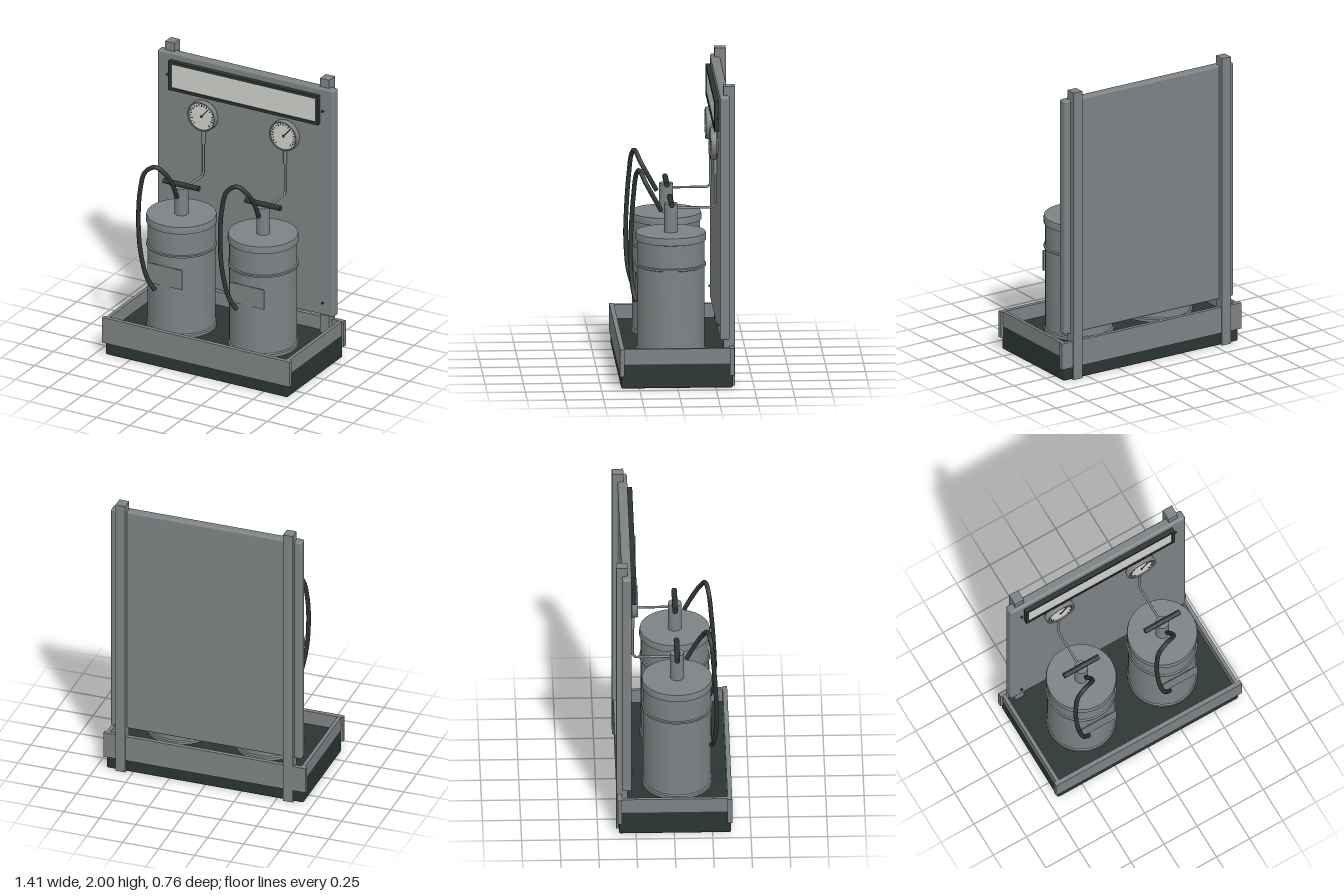
import * as THREE from 'three';
import { RoundedBoxGeometry } from 'three/addons/geometries/RoundedBoxGeometry.js';
import { toCreasedNormals } from 'three/addons/utils/BufferGeometryUtils.js';

function material(name, color) {
  const m = new THREE.MeshStandardMaterial({ color });
  m.name = name;
  return m;
}

const grey = material('grey paint', 0x7d8284);
const dark = material('dark rubber', 0x2b3534);
const light = material('off white', 0xd0cfca);

function add(parent, name, geometry, mat, x = 0, y = 0, z = 0) {
  const mesh = new THREE.Mesh(geometry, mat);
  mesh.name = name;
  mesh.position.set(x, y, z);
  parent.add(mesh);
  return mesh;
}

// Box given by its limits on each axis
function box(parent, name, mat, [x0, x1], [y0, y1], [z0, z1], radius = 0) {
  const w = x1 - x0, h = y1 - y0, d = z1 - z0;
  const geometry = radius
    ? new RoundedBoxGeometry(w, h, d, 3, radius)
    : new THREE.BoxGeometry(w, h, d);
  return add(parent, name, geometry, mat, (x0 + x1) / 2, (y0 + y1) / 2, (z0 + z1) / 2);
}

function tube(parent, name, mat, points, radius, segments, curved = true) {
  const vectors = points.map((p) => new THREE.Vector3(...p));
  let path = new THREE.CatmullRomCurve3(vectors);
  if (!curved) {
    path = new THREE.CurvePath();
    for (let i = 1; i < vectors.length; i++) path.add(new THREE.LineCurve3(vectors[i - 1], vectors[i]));
  }
  const mesh = add(parent, name, new THREE.TubeGeometry(path, segments, radius, 12), mat);
  // Close both ends
  [[0, -1], [1, 1]].forEach(([t, sign]) => {
    const cap = add(parent, name + 'End', new THREE.CircleGeometry(radius, 12), mat);
    cap.position.copy(path.getPointAt(t));
    cap.quaternion.setFromUnitVectors(new THREE.Vector3(0, 0, 1), path.getTangentAt(t).multiplyScalar(sign));
  });
  return mesh;
}

function makeTray() {
  const tray = new THREE.Group();
  tray.name = 'tray';
  box(tray, 'base', dark, [-0.685, 0.685], [0, 0.17], [-0.362, 0.37], 0.012);
  box(tray, 'frontRail', grey, [-0.703, 0.703], [0.085, 0.265], [0.348, 0.378]);
  box(tray, 'backRail', grey, [-0.703, 0.703], [0.085, 0.265], [-0.37, -0.342]);
  for (const s of [-1, 1]) {
    const xs = s > 0 ? [0.664, 0.688] : [-0.688, -0.664];
    box(tray, 'sideRail', grey, xs, [0.165, 0.264], [-0.342, 0.348]);
  }
  return tray;
}

function makeBoard() {
  const board = new THREE.Group();
  board.name = 'backBoard';
  box(board, 'panel', grey, [-0.663, 0.663], [0.31, 1.94], [-0.342, -0.278], 0.015);
  for (const s of [-1, 1]) {
    box(board, 'post', grey, [s * 0.582 - 0.034, s * 0.582 + 0.034], [0, 2], [-0.378, -0.303]);
    for (const y of [0.4, 1.78]) {
      const screw = add(board, 'screw', new THREE.CylinderGeometry(0.008, 0.008, 0.012, 12), dark, s * 0.582, y, -0.273);
      screw.rotation.x = Math.PI / 2;
    }
  }
  // Framed sign plate
  const frame = new THREE.Shape();
  frame.moveTo(-0.562, 1.685).lineTo(0.562, 1.685).lineTo(0.562, 1.892).lineTo(-0.562, 1.892).closePath();
  const opening = new THREE.Path();
  opening.moveTo(-0.542, 1.705).lineTo(-0.542, 1.872).lineTo(0.542, 1.872).lineTo(0.542, 1.705).closePath();
  frame.holes.push(opening);
  add(board, 'signFrame', new THREE.ExtrudeGeometry(frame, { depth: 0.033, bevelEnabled: false }), dark, 0, 0, -0.279);
  box(board, 'signFace', light, [-0.543, 0.543], [1.704, 1.873], [-0.262, -0.253]);
  return board;
}

function makeGauge() {
  const gauge = new THREE.Group();
  gauge.name = 'gauge';
  const profile = [[0, 0], [0.098, 0], [0.106, 0.008], [0.106, 0.038], [0.102, 0.046], [0.095, 0.046], [0.094, 0.036], [0, 0.036]];
  const shell = new THREE.LatheGeometry(profile.map(([r, h]) => new THREE.Vector2(r, h)), 40);
  add(gauge, 'gaugeCase', toCreasedNormals(shell, 0.5), grey).rotation.x = Math.PI / 2;
  add(gauge, 'gaugeFace', new THREE.CircleGeometry(0.095, 40), light, 0, 0, 0.038);
  // Scale marks over three quarters of the dial
  const count = 21;
  for (let i = 0; i < count; i++) {
    const a = -Math.PI / 4 + (i / (count - 1)) * Math.PI * 1.5;
    const length = i % 2 ? 0.01 : 0.016;
    const r = 0.088 - length / 2;
    const tick = add(gauge, 'tick', new THREE.BoxGeometry(length, 0.005, 0.003), dark, r * Math.cos(a), r * Math.sin(a), 0.039);
    tick.rotation.z = a;
  }
  add(gauge, 'needle', new THREE.BoxGeometry(0.085, 0.006, 0.003), dark, 0.022, 0.026, 0.041).rotation.z = 0.87;
  add(gauge, 'needleHub', new THREE.CylinderGeometry(0.008, 0.008, 0.006, 16), dark, 0, 0, 0.04).rotation.x = Math.PI / 2;
  add(gauge, 'gaugeStem', new THREE.CylinderGeometry(0.013, 0.013, 0.11, 16), grey, 0, -0.15, 0.012);
  return gauge;
}

function makeStation() {
  const station = new THREE.Group();
  station.name = 'drumStation';
  const cz = 0.026;

  // Drum with rolled rims and one rib
  const profile = [
    [0, 0.165], [0.23, 0.165], [0.23, 0.19], [0.222, 0.197], [0.222, 0.742], [0.231, 0.746], [0.231, 0.758],
    [0.222, 0.762], [0.222, 0.915], [0.232, 0.918], [0.232, 0.948], [0.228, 0.966], [0, 0.966],
  ];
  const drum = new THREE.LatheGeometry(profile.map(([r, y]) => new THREE.Vector2(r, y)), 48);
  add(station, 'drum', toCreasedNormals(drum, 0.4), grey, 0, 0, cz);
  box(station, 'drumLabel', grey, [-0.126, 0.134], [0.532, 0.672], [0.246, 0.252]);

  // Pump with cross handle
  add(station, 'pump', new THREE.CylinderGeometry(0.045, 0.045, 0.195, 32), grey, 0, 1.058, cz);
  add(station, 'handle', new THREE.CylinderGeometry(0.018, 0.018, 0.266, 20), dark, 0, 1.17, cz).rotation.z = Math.PI / 2;

  // Hose looping over and down the front
  tube(station, 'hose', dark, [
    [0, 1.105, 0.088], [0.005, 1.2, 0.14], [-0.012, 1.29, 0.19], [-0.08, 1.357, 0.226], [-0.148, 1.315, 0.245],
    [-0.178, 1.18, 0.26], [-0.182, 0.97, 0.275], [-0.163, 0.76, 0.282], [-0.12, 0.57, 0.27], [-0.075, 0.485, 0.25],
  ], 0.015, 90);

  // Gauge and its sensing pipe
  const gauge = makeGauge();
  gauge.position.set(0, 1.553, -0.277);
  station.add(gauge);
  tube(station, 'gaugePipe', grey, [
    [0, 1.4, -0.264], [0, 1.145, -0.264], [0, 1.125, -0.245], [0, 1.125, 0],
  ], 0.008, 60, false);
  return station;
}

export function createModel() {
  const model = new THREE.Group();
  model.name = 'drumDispenser';
  model.add(makeTray(), makeBoard());
  for (const x of [-0.307, 0.307]) {
    const station = makeStation();
    station.position.x = x;
    model.add(station);
  }
  return model;
}
